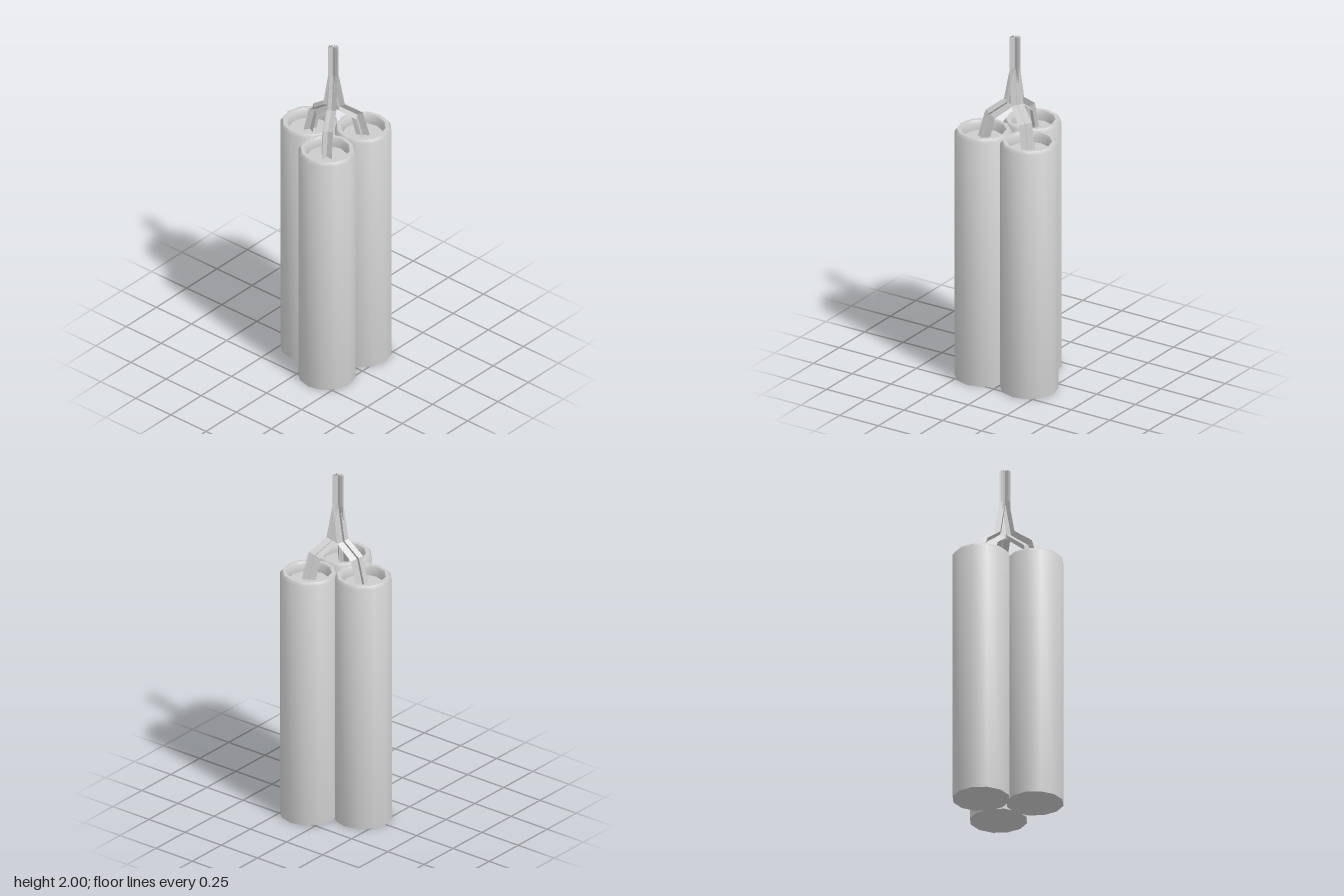
import * as THREE from 'three';
import { toCreasedNormals } from 'three/addons/utils/BufferGeometryUtils.js';

const AXIS_Z = 0.043; // z of the bundle's shared axis

// Closed tube with a rounded rim and a shallow recess in its top
function stickGeometry() {
  const profile = [
    [0, 0], [0.157, 0], [0.157, 1.437], [0.144, 1.455],
    [0.124, 1.455], [0.112, 1.437], [0.112, 1.4], [0, 1.4],
  ].map(([r, y]) => new THREE.Vector2(r, y));
  return toCreasedNormals(new THREE.LatheGeometry(profile, 12), 0.95);
}

// Fuse made of two crossed ribbons swept along a bent path that leans towards -z
function fuseGeometry() {
  // radius from axis, height, half width, sideways shift
  const path = [
    [0.17, 1.395, 0.037, 0.0045],
    [0.134, 1.54, 0.037, 0.0045],
    [0.035, 1.613, 0.034, 0.003],
    [0, 1.82, 0.03, 0],
    [0, 2, 0.03, 0],
  ];
  const positions = [], indices = [];
  for (const angle of [-Math.PI / 6, Math.PI / 3]) {
    const base = positions.length / 3;
    path.forEach(([r, y, half, shift], i) => {
      // ring direction perpendicular to the averaged path direction
      const dir = (a, b) => new THREE.Vector2(b[0] - a[0], b[1] - a[1]).normalize();
      const t = new THREE.Vector2();
      if (i > 0) t.add(dir(path[i - 1], path[i]));
      if (i < path.length - 1) t.add(dir(path[i], path[i + 1]));
      t.normalize();
      for (const sign of [-1, 1]) {
        const across = sign * half * Math.cos(angle);
        const out = sign * half * Math.sin(angle);
        positions.push(shift + across, y - out * t.x, -(r + out * t.y));
      }
      if (i > 0) {
        const k = base + 2 * i;
        indices.push(k - 2, k - 1, k, k - 1, k + 1, k);
      }
    });
  }
  const geometry = new THREE.BufferGeometry();
  geometry.setAttribute('position', new THREE.Float32BufferAttribute(positions, 3));
  geometry.setIndex(indices);
  const flat = geometry.toNonIndexed();
  flat.computeVertexNormals();
  return flat;
}

export function createModel() {
  const model = new THREE.Group();
  model.name = 'stickBundle';
  const tubeMaterial = new THREE.MeshStandardMaterial({ color: 0xcccccc });
  const fuseMaterial = new THREE.MeshStandardMaterial({
    color: 0xcccccc, flatShading: true, side: THREE.DoubleSide,
  });
  const stick = stickGeometry();
  const fuse = fuseGeometry();
  const names = ['back', 'right', 'left'];
  const centres = [[0, -0.129], [-0.148, 0.127], [0.148, 0.127]];

  names.forEach((name, i) => {
    const tube = new THREE.Mesh(stick, tubeMaterial);
    tube.name = name + 'Stick';
    tube.position.set(centres[i][0], 0, centres[i][1]);

    const wire = new THREE.Mesh(fuse, fuseMaterial);
    wire.name = name + 'Fuse';
    wire.position.z = AXIS_Z;
    wire.rotation.y = (i * 2 * Math.PI) / 3;
    model.add(tube, wire);
  });
  return model;
}
